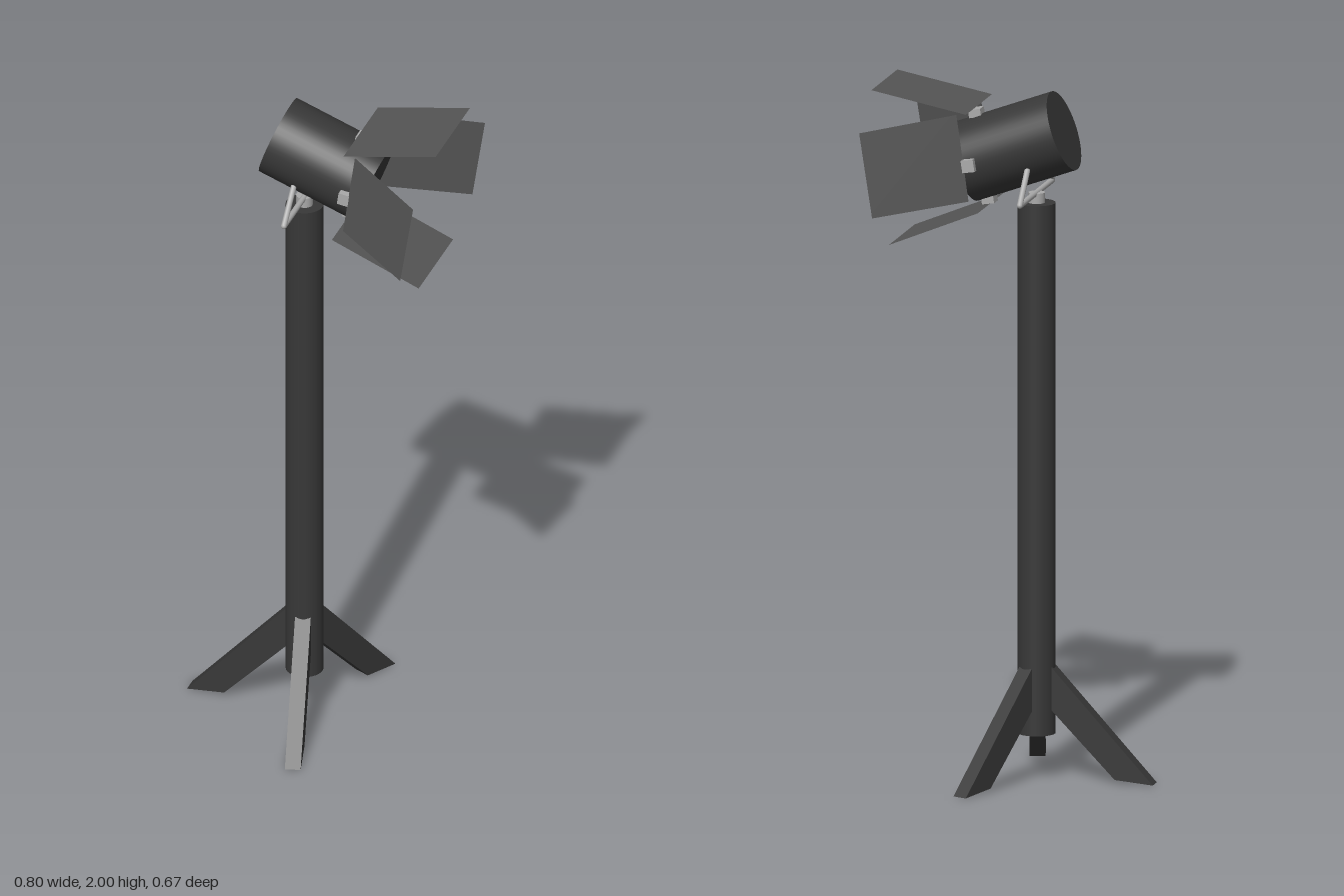
import * as THREE from 'three';

const Z = -0.012; // centre plane of the stand
const PX = -0.055; // pole axis
const TILT = -0.35; // downward pitch of the lamp

const mat = (color, side = THREE.FrontSide) => new THREE.MeshStandardMaterial({ color, side });

function add(parent, name, geometry, material, x = 0, y = 0, z = 0) {
  const mesh = new THREE.Mesh(geometry, material);
  mesh.name = name;
  mesh.position.set(x, y, z);
  parent.add(mesh);
  return mesh;
}

// Flat sheet from four corners given in order around the edge
function sheet(a, b, c, d) {
  const g = new THREE.BufferGeometry();
  g.setAttribute('position', new THREE.Float32BufferAttribute([...a, ...b, ...c, ...d], 3));
  g.setIndex([0, 1, 2, 0, 2, 3]);
  g.computeVertexNormals();
  return g;
}

export function createModel() {
  const root = new THREE.Group();
  root.name = 'standLamp';
  const black = mat(0x383838);
  const metal = mat(0xaaaaaa);
  const doorMat = mat(0x555555, THREE.DoubleSide);

  // Pole
  add(root, 'pole', new THREE.CylinderGeometry(0.054, 0.054, 1.54, 32), black, PX, 0.9, Z);

  // Three splayed legs, each a slanted bar cut level at the floor
  const profile = new THREE.Shape([
    [0.347, 0], [0.05, 0.326], [0.03, 0.326], [0.03, 0.222], [0.235, 0.01],
  ].map(([r, y]) => new THREE.Vector2(r, y)));
  const legGeo = new THREE.ExtrudeGeometry(profile, { depth: 0.045, bevelEnabled: false });
  legGeo.translate(0, 0, -0.0225);
  [Math.PI, 1.15, -1.32].forEach((angle, i) => {
    add(root, 'leg' + (i + 1), legGeo, black, PX, 0, Z).rotation.y = angle;
  });

  // Yoke: a bent rod on a small collar, rising to both sides of the lamp
  add(root, 'yokeCollar', new THREE.CylinderGeometry(0.024, 0.024, 0.035, 24), metal, PX, 1.682, Z);
  const bends = [[1.783, -0.095], [1.697, -0.178], [1.697, 0.178], [1.783, 0.095]]
    .map(([y, z]) => new THREE.Vector3(PX + 0.002, y, Z + z));
  const path = new THREE.CurvePath();
  for (let i = 0; i < 3; i++) path.add(new THREE.LineCurve3(bends[i], bends[i + 1]));
  path.curves.forEach((line, i) => {
    add(root, 'yokeRod' + (i + 1), new THREE.TubeGeometry(line, 1, 0.0085, 12), metal);
  });
  bends.forEach((p, i) => {
    add(root, 'yokeJoint' + (i + 1), new THREE.SphereGeometry(0.0085, 12, 8), metal, p.x, p.y, p.z);
  });

  // Lamp housing
  const housing = new THREE.CylinderGeometry(0.117, 0.117, 0.307, 48);
  housing.rotateZ(-Math.PI / 2);
  add(root, 'lampHousing', housing, black, 0.009, 1.83, Z).rotation.z = TILT;

  // Hinge blocks around the front rim
  const hinges = [
    ['topHinge', 0.122, 1.922, 0, 0.024, 0.042],
    ['bottomHinge', 0.084, 1.674, 0, 0.024, 0.042],
    ['leftHinge', 0.112, 1.793, 0.125, 0.036, 0.022],
    ['rightHinge', 0.112, 1.793, -0.125, 0.036, 0.022],
  ];
  for (const [name, x, y, z, h, d] of hinges) {
    add(root, name, new THREE.BoxGeometry(0.036, h, d), metal, x, y, Z + z).rotation.z = -0.15;
  }

  // Four thin shutter flaps
  const z0 = -0.153, z1 = 0.133;
  add(root, 'topFlap', sheet(
    [0.115, 1.944, z0], [0.115, 1.944, z1], [0.393, 2.0, z1], [0.393, 2.0, z0]), doorMat);
  add(root, 'bottomFlap', sheet(
    [0.08, 1.66, z0], [0.08, 1.66, z1], [0.342, 1.553, z1], [0.342, 1.553, z0]), doorMat);
  add(root, 'leftFlap', sheet(
    [0.146, 1.94, 0.123], [0.11, 1.69, 0.123], [0.336, 1.655, 0.27], [0.375, 1.9, 0.27]), doorMat);
  add(root, 'rightFlap', sheet(
    [0.146, 1.94, -0.143], [0.11, 1.69, -0.143], [0.364, 1.65, -0.253], [0.402, 1.895, -0.253]), doorMat);

  return root;
}
